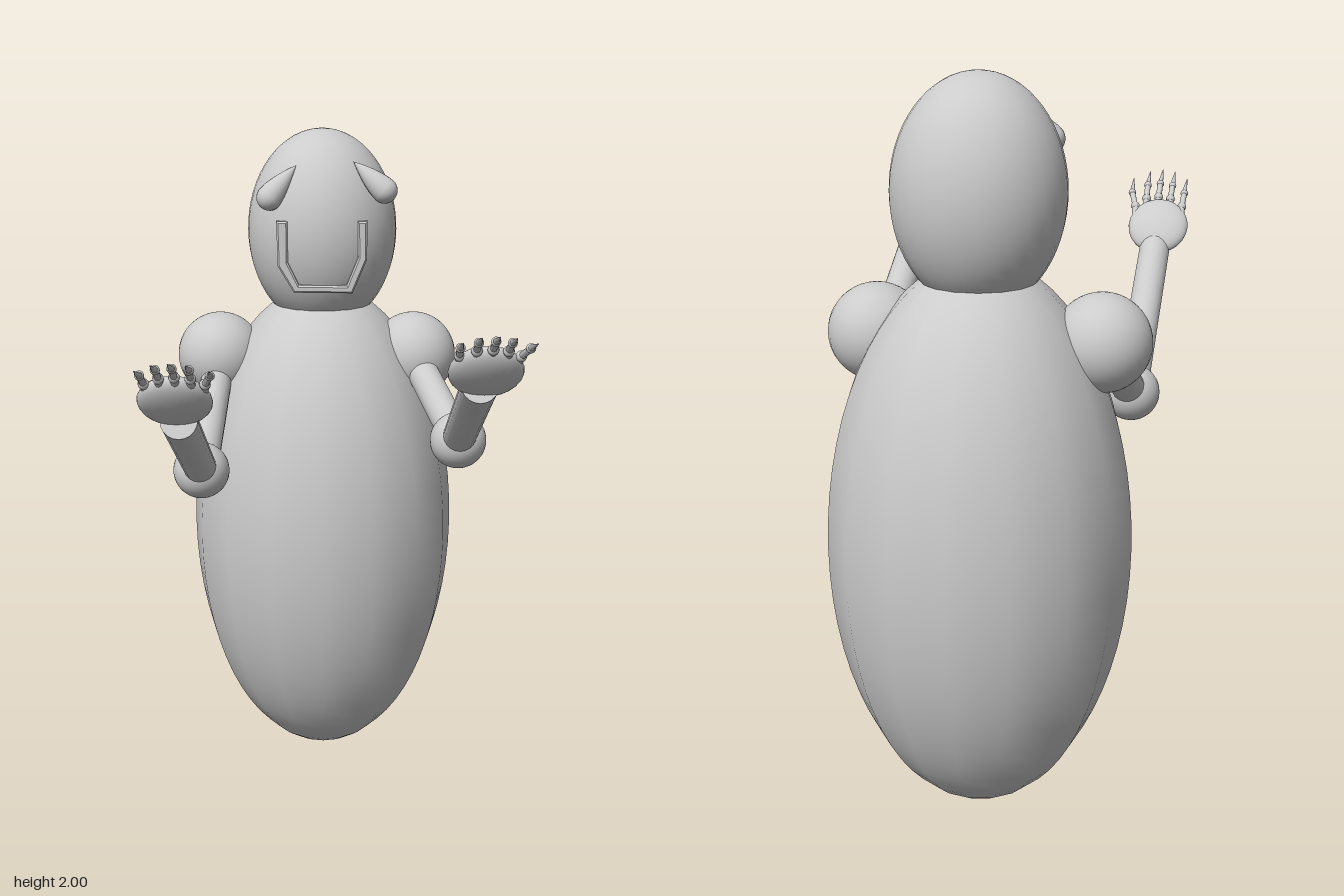
import * as THREE from 'three';

const material = new THREE.MeshStandardMaterial({ color: 0xcccccc });
const V = (x, y, z) => new THREE.Vector3(x, y, z);

function add(parent, name, geometry) {
  const mesh = new THREE.Mesh(geometry, material);
  mesh.name = name;
  parent.add(mesh);
  return mesh;
}

// Sphere stretched to the given radii
function ellipsoid(parent, name, center, rx, ry, rz, sides = 32, rows = 24) {
  const mesh = add(parent, name, new THREE.SphereGeometry(1, sides, rows));
  mesh.position.copy(center);
  mesh.scale.set(rx, ry, rz);
  return mesh;
}

function alignY(mesh, from, to) {
  mesh.quaternion.setFromUnitVectors(V(0, 1, 0), to.clone().sub(from).normalize());
}

// Tapered rod between two points
function rod(parent, name, from, to, r0, r1 = r0, sides = 20) {
  const mesh = add(parent, name, new THREE.CylinderGeometry(r1, r0, from.distanceTo(to), sides));
  mesh.position.copy(from).lerp(to, 0.5);
  alignY(mesh, from, to);
}

// Teardrop eye: round end at `from`, point at `to`
function eye(parent, name, from, to) {
  const length = from.distanceTo(to), r = 0.038, points = [];
  for (let i = 0; i <= 8; i++) {
    const a = (i / 8) * Math.PI / 2;
    points.push(new THREE.Vector2(r * Math.sin(a), -r * Math.cos(a)));
  }
  for (let i = 1; i <= 8; i++) {
    const t = i / 8;
    points.push(new THREE.Vector2(r * (1 - t ** 1.6), length * t));
  }
  const mesh = add(parent, name, new THREE.LatheGeometry(points, 20));
  mesh.position.copy(from);
  alignY(mesh, from, to);
}

// Flat palm with five jointed, pointed fingers
function hand(parent, name, center, reach) {
  const group = new THREE.Group();
  group.name = name;
  group.position.copy(center);
  parent.add(group);
  ellipsoid(group, 'palm', V(0, 0, 0), 0.093, 0.036, 0.096, 24, 16).rotation.x = -0.84;
  const baseX = [-0.068, -0.03, 0.008, 0.045, 0.073];
  const tipX = [-0.072, -0.031, 0.009, 0.049, 0.1];
  const setBack = [0.028, 0.005, 0, 0.006, 0.03];
  baseX.forEach((x, i) => {
    const back = setBack[i];
    const joint = (t, y, z) => V(x + (tipX[i] - x) * t, (y - back * 0.75) * reach, (z - back) * reach);
    const root = joint(0, 0.045, 0.045);
    const knuckle = joint(0.2, 0.07, 0.07);
    const middle = joint(0.8, 0.1, 0.118);
    const tip = joint(1, 0.128, 0.198);
    const finger = new THREE.Group();
    finger.name = 'finger';
    group.add(finger);
    rod(finger, 'fingerBase', root, knuckle, 0.011, 0.011, 10);
    ellipsoid(finger, 'knuckle', knuckle, 0.014, 0.014, 0.014, 12, 8);
    rod(finger, 'fingerBone', knuckle, middle, 0.009, 0.009, 10);
    ellipsoid(finger, 'fingerJoint', middle, 0.012, 0.012, 0.012, 12, 8);
    rod(finger, 'fingerTip', middle, tip, 0.009, 0.001, 10);
  });
}

// Shoulder ball, upper arm, elbow ball, forearm and hand
function arm(parent, side, shoulder, elbow, wrist, palm, reach) {
  const group = new THREE.Group();
  group.name = side + 'Arm';
  parent.add(group);
  ellipsoid(group, 'shoulder', shoulder, 0.13, 0.13, 0.13);
  rod(group, 'upperArm', shoulder, elbow, 0.047);
  ellipsoid(group, 'elbow', elbow, 0.081, 0.081, 0.081);
  rod(group, 'forearm', elbow, wrist, 0.047);
  hand(group, side + 'Hand', palm, reach);
}

export function createModel() {
  const model = new THREE.Group();
  model.name = 'figure';

  // Body and head
  ellipsoid(model, 'body', V(-0.032, 0.767, -0.432), 0.408, 0.765, 0.41, 16, 32);
  ellipsoid(model, 'head', V(-0.032, 1.7, -0.432), 0.225, 0.3, 0.225, 32, 32);

  // Eyes
  eye(model, 'rightEye', V(-0.185, 1.815, -0.264), V(-0.107, 1.905, -0.284));
  eye(model, 'leftEye', V(0.15, 1.835, -0.266), V(0.06, 1.915, -0.288));

  // U-shaped mouth
  const outline = [
    [-0.165, 1.75], [-0.162, 1.62], [-0.115, 1.542], [0.058, 1.54], [0.1, 1.64], [0.1, 1.75],
    [0.072, 1.75], [0.074, 1.645], [0.04, 1.562], [-0.1, 1.564], [-0.132, 1.63], [-0.132, 1.75],
  ].map(([x, y]) => new THREE.Vector2(x, y));
  const mouth = add(model, 'mouth', new THREE.ExtrudeGeometry(new THREE.Shape(outline), {
    depth: 0.055, bevelThickness: 0.006, bevelSize: 0.005, bevelOffset: -0.005, bevelSegments: 1,
  }));
  mouth.position.z = -0.287;

  // Arms reaching forward
  arm(model, 'right', V(-0.347, 1.32, -0.403), V(-0.381, 1.067, 0),
    V(-0.382, 1.373, 0.58), V(-0.387, 1.43, 0.608), 1.12);
  arm(model, 'left', V(0.248, 1.32, -0.403), V(0.359, 1.157, 0),
    V(0.358, 1.463, 0.577), V(0.368, 1.503, 0.608), 1);

  return model;
}
